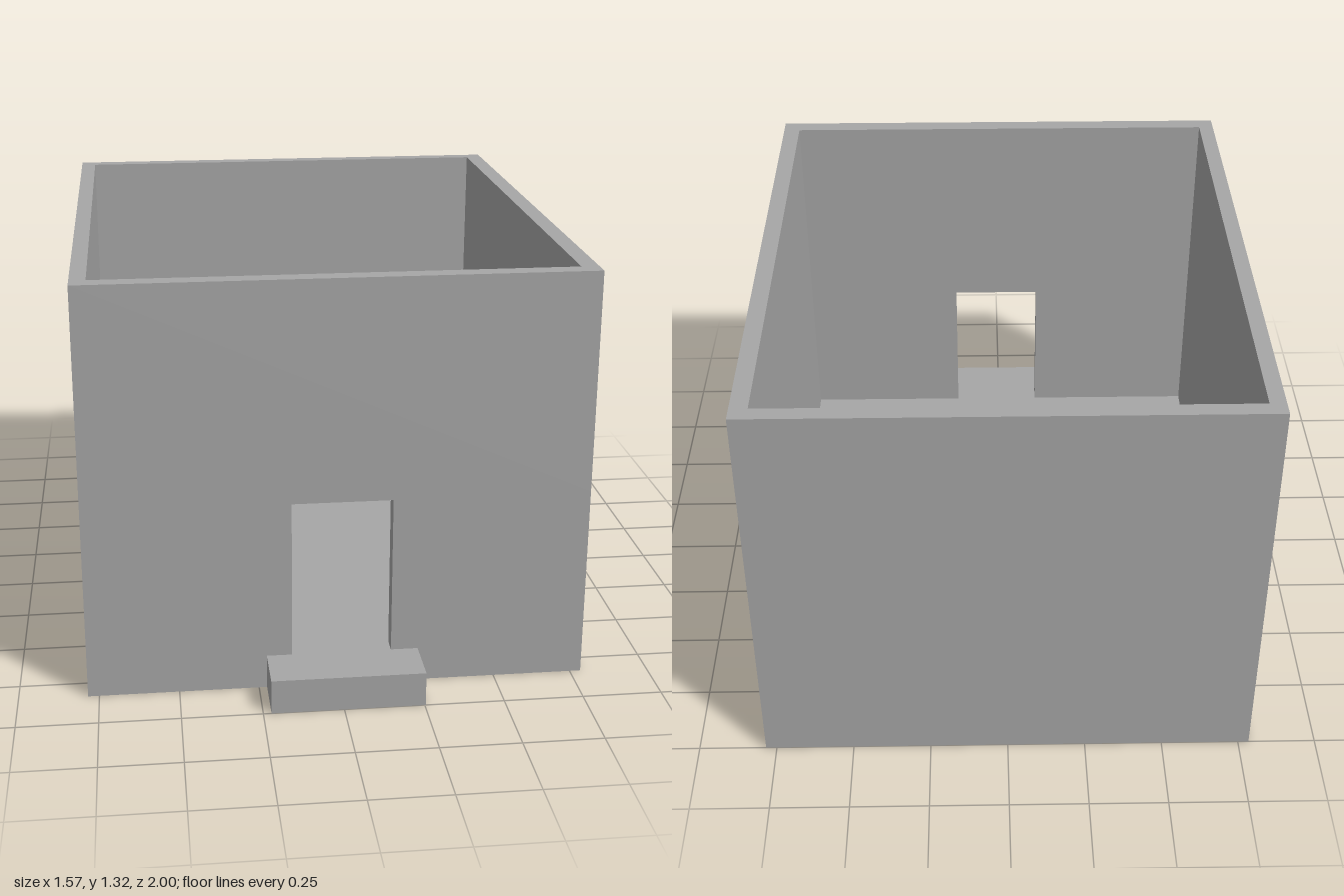
import * as THREE from 'three';

// Outer plan, inner room and doorway extents
const X = 0.785, BACK = -1, FRONT = 0.835;
const IN_L = -0.735, IN_R = 0.73, IN_BACK = -0.95, IN_FRONT = 0.78;
const DOOR_L = -0.145, DOOR_R = 0.168;
const STEP_L = -0.225, STEP_R = 0.253, STEP_FRONT = 1;
const FLOOR = 0.11, DOOR_TOP = 0.62, TOP = 1.325;

// Plan points are [x, z]; shapes use y = -z so they can be laid flat
const toPoints = (pts) => pts.map(([x, z]) => new THREE.Vector2(x, -z));

// Extrude a plan outline vertically between two heights
function layer(name, material, plan, y0, y1, hole) {
  const shape = new THREE.Shape(toPoints(plan));
  if (hole) shape.holes.push(new THREE.Path(toPoints(hole)));
  const geometry = new THREE.ExtrudeGeometry(shape, { depth: y1 - y0, bevelEnabled: false });
  geometry.rotateX(-Math.PI / 2);
  geometry.translate(0, y0, 0);
  const mesh = new THREE.Mesh(geometry, material);
  mesh.name = name;
  return mesh;
}

export function createModel() {
  const model = new THREE.Group();
  model.name = 'roomWithDoorway';

  const grey = new THREE.MeshStandardMaterial({ color: 0xa6a6a6 });
  grey.name = 'plain grey';

  // Floor slab running out through the doorway into the front step
  model.add(layer('floorAndStep', grey, [
    [-X, FRONT], [STEP_L, FRONT], [STEP_L, STEP_FRONT], [STEP_R, STEP_FRONT],
    [STEP_R, FRONT], [X, FRONT], [X, BACK], [-X, BACK],
  ], 0, FLOOR));

  // Walls up to the door head, broken by the doorway
  model.add(layer('lowerWalls', grey, [
    [DOOR_R, FRONT], [X, FRONT], [X, BACK], [-X, BACK], [-X, FRONT], [DOOR_L, FRONT],
    [DOOR_L, IN_FRONT], [IN_L, IN_FRONT], [IN_L, IN_BACK], [IN_R, IN_BACK],
    [IN_R, IN_FRONT], [DOOR_R, IN_FRONT],
  ], FLOOR, DOOR_TOP));

  // Unbroken walls above the doorway, open at the top
  model.add(layer('upperWalls', grey,
    [[-X, FRONT], [X, FRONT], [X, BACK], [-X, BACK]],
    DOOR_TOP, TOP,
    [[IN_L, IN_FRONT], [IN_L, IN_BACK], [IN_R, IN_BACK], [IN_R, IN_FRONT]]));

  return model;
}
